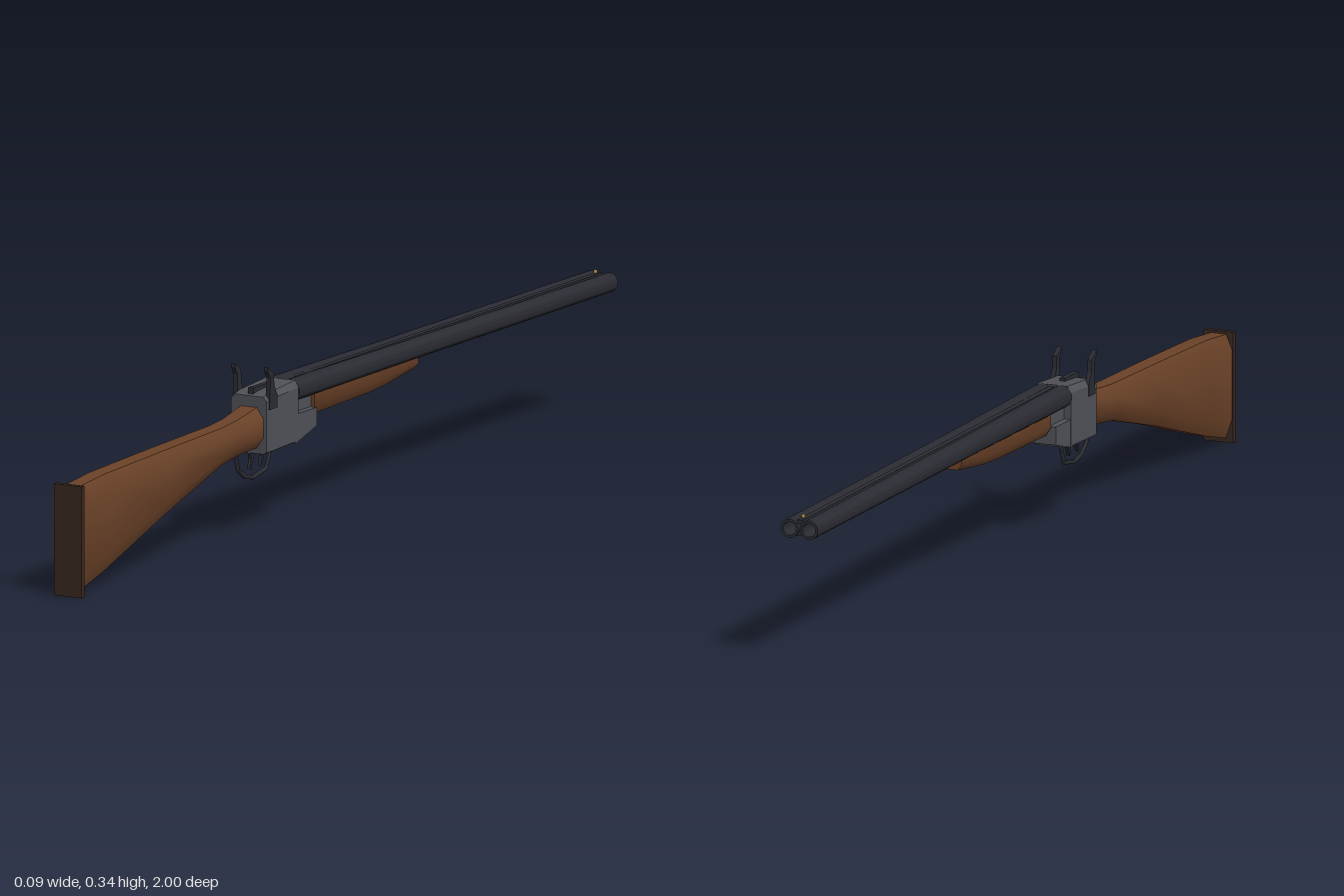
import * as THREE from 'three';
import { toCreasedNormals } from 'three/addons/utils/BufferGeometryUtils.js';

const mat = (color) => new THREE.MeshStandardMaterial({ color });
const V = (x, y, z) => new THREE.Vector3(x, y, z);

// Solid through chamfered box sections, rear to muzzle.
// Section: [z, bottom, top, halfWidth, chamferX, topChamferY, bottomChamferY]
function loft(sections, crease) {
  const pos = [];
  const rings = sections.map(([z, b, t, w, c, ct, cb]) => [
    V(w, b + cb, z), V(w, t - ct, z), V(w - c, t, z), V(c - w, t, z),
    V(-w, t - ct, z), V(-w, b + cb, z), V(c - w, b, z), V(w - c, b, z)]);
  const tri = (...p) => p.forEach((v) => pos.push(v.x, v.y, v.z));
  for (let i = 0; i < rings.length - 1; i++) {
    for (let j = 0; j < 8; j++) {
      const k = (j + 1) % 8, a = rings[i], d = rings[i + 1];
      tri(a[j], d[j], a[k]);
      tri(a[k], d[j], d[k]);
    }
  }
  const first = rings[0], last = rings[rings.length - 1];
  for (let j = 1; j < 7; j++) {
    tri(first[0], first[j], first[j + 1]);
    tri(last[0], last[j + 1], last[j]);
  }
  const g = new THREE.BufferGeometry();
  g.setAttribute('position', new THREE.Float32BufferAttribute(pos, 3));
  return toCreasedNormals(g, crease);
}

// Side outline in (z, y), extruded across x and centred on x
function plate(points, width, x = 0) {
  const shape = new THREE.Shape(points.map(([z, y]) => new THREE.Vector2(z, y)));
  const g = new THREE.ExtrudeGeometry(shape, { depth: width, bevelEnabled: false });
  return g.rotateY(-Math.PI / 2).translate(x + width / 2, 0, 0);
}

function box(w, h, d, x, y, z) {
  return new THREE.BoxGeometry(w, h, d).translate(x, y, z);
}

export function createModel() {
  const model = new THREE.Group();
  const wood = mat(0x6b4228), butt = mat(0x38271f);
  const steel = mat(0x505258), dark = mat(0x2b2c33), brass = mat(0xb08d3c);
  const add = (name, geometry, material) => {
    const mesh = new THREE.Mesh(geometry, material);
    mesh.name = name;
    model.add(mesh);
  };

  // Shoulder stock and butt plate
  add('stock', loft([
    [0.99, 0.008, 0.215, 0.029, 0.013, 0.03, 0.04],
    [0.89, 0.034, 0.224, 0.031, 0.014, 0.03, 0.035],
    [0.66, 0.105, 0.231, 0.032, 0.015, 0.027, 0.03],
    [0.45, 0.163, 0.236, 0.030, 0.014, 0.022, 0.022],
    [0.39, 0.171, 0.241, 0.030, 0.014, 0.021, 0.021],
    [0.31, 0.175, 0.256, 0.033, 0.015, 0.021, 0.021],
  ], 0.9), wood);
  add('buttPlate', box(0.062, 0.22, 0.012, 0, 0.11, 0.994), butt);

  // Receiver block, forward bar and top lever
  add('receiver', loft([
    [0.32, 0.163, 0.276, 0.04, 0.007, 0.009, 0.004],
    [0.30, 0.163, 0.281, 0.04, 0.008, 0.011, 0.004],
    [0.20, 0.166, 0.288, 0.04, 0.008, 0.013, 0.004],
  ], 0.3), steel);
  add('receiverBar', plate([
    [0.21, 0.165], [0.13, 0.187], [0.13, 0.223], [0.135, 0.245], [0.15, 0.25], [0.21, 0.25],
  ].slice(0, 3).concat([[0.21, 0.223]]), 0.078), steel);
  add('barrelLump', box(0.05, 0.04, 0.075, 0, 0.238, 0.165), steel);
  add('topLever', box(0.012, 0.012, 0.065, 0, 0.284, 0.28), dark);

  // Hollow barrels, tapering to the muzzle
  const barrelProfile = [
    [0.012, 0], [0.022, 0], [0.022, 0.09], [0.020, 0.40], [0.019, 1.2],
    [0.0135, 1.2], [0.0135, 0.9], [0, 0.9],
  ].map(([r, h]) => new THREE.Vector2(r, h));
  for (const side of [1, -1]) {
    const name = side > 0 ? 'left' : 'right';
    const barrel = toCreasedNormals(new THREE.LatheGeometry(barrelProfile, 16), 0.7);
    barrel.rotateX(-Math.PI / 2).translate(side * 0.0205, 0.267, 0.2);
    add(name + 'Barrel', barrel, dark);

    // Outside hammer with a swept spur
    add(name + 'Hammer', plate([
      [0.312, 0.25], [0.282, 0.25], [0.282, 0.275], [0.293, 0.295], [0.295, 0.32],
      [0.318, 0.335], [0.318, 0.328], [0.308, 0.312], [0.309, 0.285],
    ].reverse(), 0.009, side * 0.037), dark);
  }

  // Ribs joining the barrels, and the bead sight
  add('topRib', box(0.012, 0.008, 1.195, 0, 0.281, -0.398), dark);
  add('lowerRib', box(0.012, 0.008, 1.195, 0, 0.258, -0.398), dark);
  add('beadSight', new THREE.SphereGeometry(0.004, 10, 8).translate(0, 0.289, -0.98), brass);

  // Wooden fore-end under the barrels
  add('foreEnd', loft([
    [0.125, 0.205, 0.258, 0.031, 0.011, 0.003, 0.018],
    [-0.10, 0.209, 0.258, 0.029, 0.011, 0.003, 0.018],
    [-0.17, 0.213, 0.258, 0.027, 0.010, 0.003, 0.016],
    [-0.28, 0.226, 0.258, 0.022, 0.008, 0.003, 0.010],
  ], 0.7), wood);

  // Trigger guard: straight links along a bent strap
  const guard = [[0.372, 0.172], [0.360, 0.135], [0.335, 0.118], [0.305, 0.112],
    [0.255, 0.121], [0.236, 0.167]].map(([z, y]) => V(0, y, z));
  const path = new THREE.CurvePath();
  for (let i = 1; i < guard.length; i++) path.add(new THREE.LineCurve3(guard[i - 1], guard[i]));
  add('triggerGuard', new THREE.TubeGeometry(path, 40, 0.0045, 6), dark);

  // Two triggers
  for (const [name, z] of [['rearTrigger', 0.31], ['frontTrigger', 0.27]]) {
    add(name, plate([
      [z, 0.168], [z - 0.002, 0.15], [z + 0.006, 0.13], [z + 0.011, 0.131],
      [z + 0.006, 0.15], [z + 0.01, 0.168],
    ], 0.007), dark);
  }
  return model;
}
